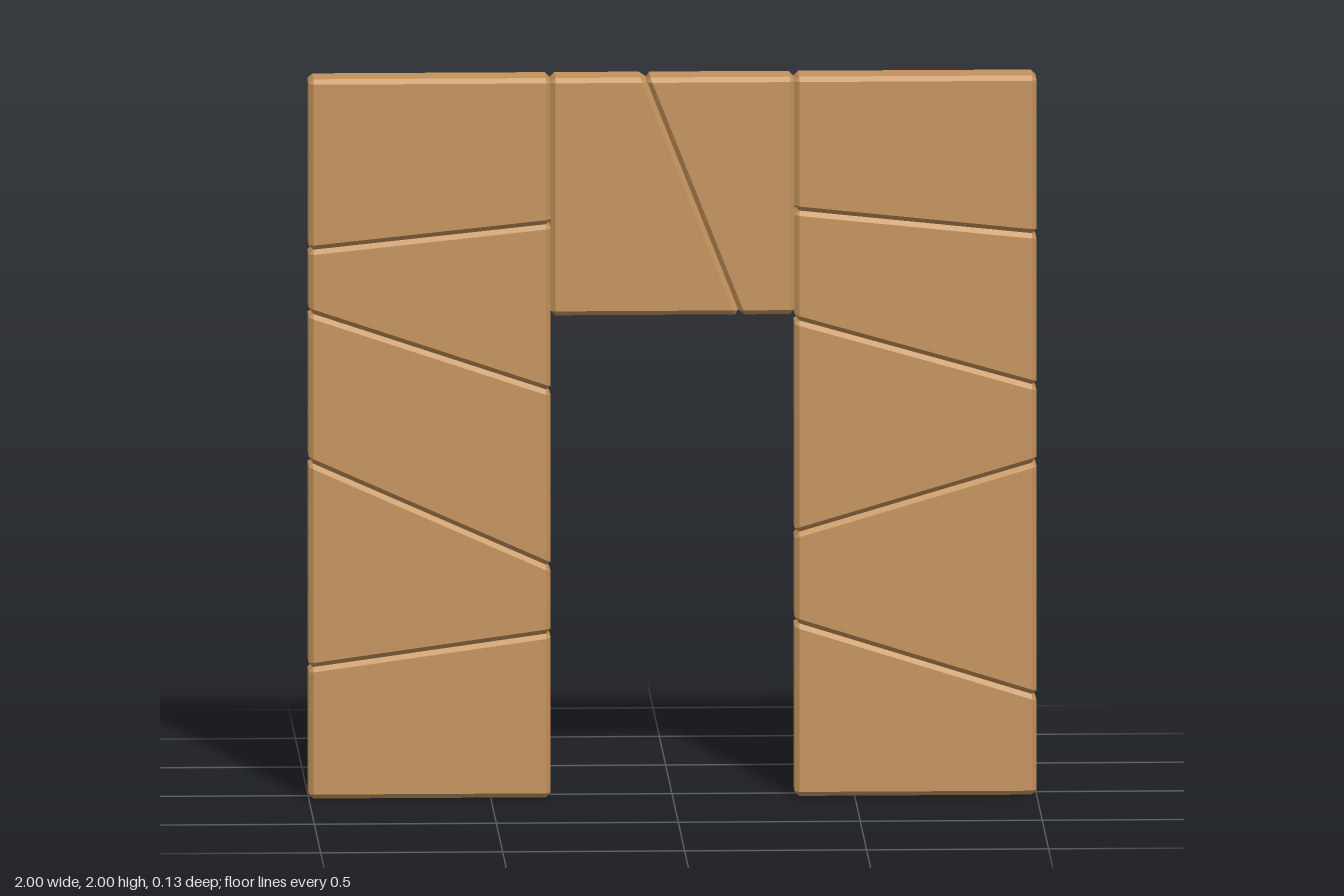
import * as THREE from 'three';
import { ConvexGeometry } from 'three/addons/geometries/ConvexGeometry.js';

const HALF_DEPTH = 0.065;
const BEVEL = 0.013;

// Four-sided stone slab with every edge and corner chamfered
function stoneGeometry(corners) {
  const pts = corners.map(([x, y]) => new THREE.Vector2(x, y));
  const points = [];
  pts.forEach((c, i) => {
    const toNext = pts[(i + 1) % 4].clone().sub(c).normalize();
    const toPrev = pts[(i + 3) % 4].clone().sub(c).normalize();
    const inset = BEVEL / Math.abs(toNext.cross(toPrev));
    const onNext = c.clone().addScaledVector(toNext, inset);
    const onPrev = c.clone().addScaledVector(toPrev, inset);
    const onFace = onNext.clone().addScaledVector(toPrev, inset);
    for (const s of [-1, 1]) {
      points.push(
        new THREE.Vector3(onFace.x, onFace.y, s * HALF_DEPTH),
        new THREE.Vector3(onNext.x, onNext.y, s * (HALF_DEPTH - BEVEL)),
        new THREE.Vector3(onPrev.x, onPrev.y, s * (HALF_DEPTH - BEVEL))
      );
    }
  });
  return new ConvexGeometry(points);
}

export function createModel() {
  const model = new THREE.Group();
  model.name = 'stoneArch';
  const stone = new THREE.MeshStandardMaterial({ color: 0xc4935c });
  stone.name = 'tan stone';

  function addStone(parent, name, corners) {
    const mesh = new THREE.Mesh(stoneGeometry(corners), stone);
    mesh.name = name;
    parent.add(mesh);
  }

  // Pillars: joints run from bottom to top as [y at x0, y at x1]
  function addPillar(name, x0, x1, joints) {
    const pillar = new THREE.Group();
    pillar.name = name;
    for (let i = 0; i < joints.length - 1; i++) {
      const [a, b] = joints[i];
      const [c, d] = joints[i + 1];
      addStone(pillar, `${name}Stone${i + 1}`, [[x0, a], [x1, b], [x1, d], [x0, c]]);
    }
    model.add(pillar);
  }
  addPillar('rightPillar', -1, -0.335,
    [[0, 0], [0.364, 0.457], [0.937, 0.641], [1.352, 1.13], [1.525, 1.595], [2, 2]]);
  addPillar('leftPillar', 0.335, 1,
    [[0, 0], [0.484, 0.276], [0.731, 0.927], [1.326, 1.138], [1.629, 1.56], [2, 2]]);

  // Lintel: two stones split by a slanted joint
  const lintel = new THREE.Group();
  lintel.name = 'lintel';
  const bottom = 1.34;
  addStone(lintel, 'lintelRightStone',
    [[-0.335, bottom], [0.185, bottom], [-0.075, 2], [-0.335, 2]]);
  addStone(lintel, 'lintelLeftStone',
    [[0.185, bottom], [0.335, bottom], [0.335, 2], [-0.075, 2]]);
  model.add(lintel);

  return model;
}
